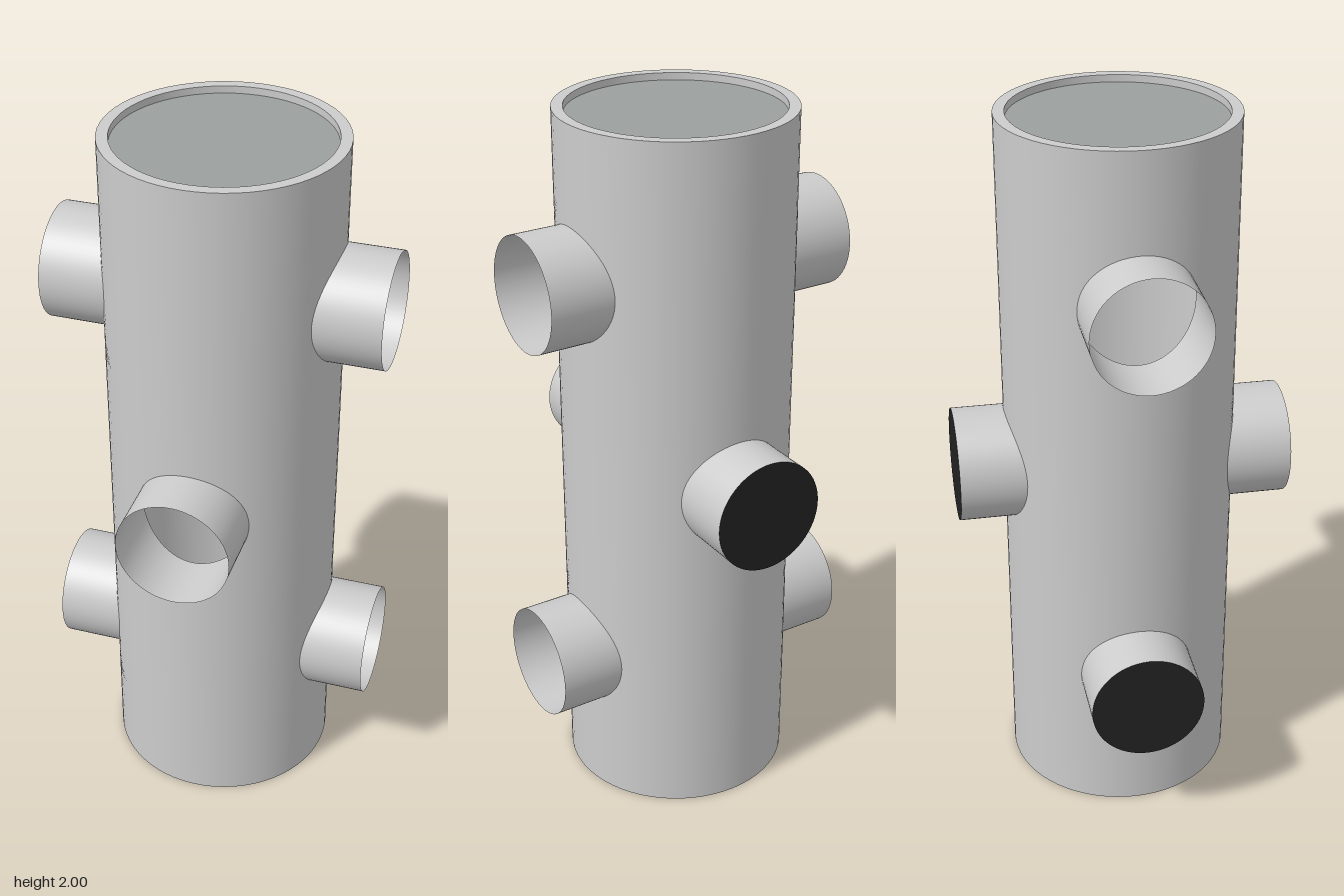
import * as THREE from 'three';
import { ParametricGeometry } from 'three/addons/geometries/ParametricGeometry.js';
import { mergeGeometries } from 'three/addons/utils/BufferGeometryUtils.js';

const OUTER = 0.322, INNER = 0.291, HEIGHT = 2;
const PORT_R = 0.158, REACH = 0.464, BAND = 0.2, RECESS = 0.02;
const QUARTER = Math.PI / 2;

const paint = (name, color) => {
  const m = new THREE.MeshStandardMaterial({ color, side: THREE.DoubleSide });
  m.name = name;
  return m;
};

const onWall = (R, angle, y, target) => target.set(R * Math.sin(angle), y, R * Math.cos(angle));

// Plain quarter of the wall between two heights
function plainPatch(R, y0, y1, flip) {
  return new ParametricGeometry((u, v, t) => {
    const k = flip ? 1 - u : u;
    onWall(R, (k - 0.5) * QUARTER, y0 + v * (y1 - y0), t);
  }, 16, 1);
}

// Quarter of the wall with a round opening: runs from the square border in to the opening
function holedPatch(R, yc, flip) {
  return new ParametricGeometry((u, v, t) => {
    const k = flip ? 1 - u : u;
    const side = Math.min(3, Math.floor(k * 4)), f = (k * 4 - side) * 2 - 1;
    const [sx, sy] = [[f, -1], [1, f], [-f, 1], [-1, -f]][side];
    const a = 2 * Math.PI * k - 0.75 * Math.PI;
    const holeAngle = Math.asin(PORT_R * Math.cos(a) / R);
    const angle = THREE.MathUtils.lerp(sx * QUARTER / 2, holeAngle, v);
    const y = THREE.MathUtils.lerp(sy * BAND, PORT_R * Math.sin(a), v);
    onWall(R, angle, yc + y, t);
  }, 64, 5);
}

// Quarter wall, outer and inner skins, with openings at the given heights
function wallQuarter(heights) {
  const parts = [];
  for (const [R, flip] of [[OUTER, false], [INNER, true]]) {
    let y = 0;
    for (const h of heights) {
      parts.push(plainPatch(R, y, h - BAND, flip), holedPatch(R, h, flip));
      y = h + BAND;
    }
    parts.push(plainPatch(R, y, HEIGHT, flip));
  }
  return mergeGeometries(parts);
}

// Branch tube, its inner end following the curve of the bore
function branchTube() {
  return new ParametricGeometry((u, v, t) => {
    const a = 2 * Math.PI * u, x = PORT_R * Math.cos(a);
    const z0 = Math.sqrt(INNER * INNER - x * x);
    t.set(x, PORT_R * Math.sin(a), THREE.MathUtils.lerp(z0, REACH, v));
  }, 64, 2);
}

export function createModel() {
  const model = new THREE.Group();
  model.name = 'branchedPipe';
  const pipe = paint('pipe grey', 0xcccccc);
  const plate = paint('plate grey', 0x9ba09f);
  const black = paint('cap black', 0x222222);

  const add = (parent, name, geometry, material) => {
    const mesh = new THREE.Mesh(geometry, material);
    mesh.name = name;
    parent.add(mesh);
    return mesh;
  };

  // Four sides, each with its branches and any closed ends
  const sides = [
    { name: 'front', turn: 0, heights: [1.003], capped: [] },
    { name: 'left', turn: QUARTER, heights: [0.437, 1.57], capped: [] },
    { name: 'back', turn: Math.PI, heights: [1.003], capped: [1.003] },
    { name: 'right', turn: -QUARTER, heights: [0.437, 1.57], capped: [0.437] },
  ];
  const tube = branchTube();
  const disc = new THREE.CircleGeometry(PORT_R, 64);
  for (const { name, turn, heights, capped } of sides) {
    const side = new THREE.Group();
    side.name = name + 'Side';
    side.rotation.y = turn;
    model.add(side);
    add(side, name + 'Wall', wallQuarter(heights), pipe);
    for (const h of heights) add(side, name + 'Branch', tube, pipe).position.y = h;
    for (const h of capped) add(side, name + 'Cap', disc, black).position.set(0, h, REACH);
  }

  // End rims and the recessed end plates
  const rim = new THREE.RingGeometry(INNER, OUTER, 64);
  const endPlate = new THREE.CircleGeometry(INNER, 64);
  for (const [name, y, inset, tilt] of [['top', HEIGHT, -RECESS, -QUARTER], ['bottom', 0, RECESS, QUARTER]]) {
    const ring = add(model, name + 'Rim', rim, pipe);
    ring.position.y = y;
    ring.rotation.x = tilt;
    const cover = add(model, name + 'Plate', endPlate, plate);
    cover.position.y = y + inset;
    cover.rotation.x = tilt;
  }
  return model;
}
